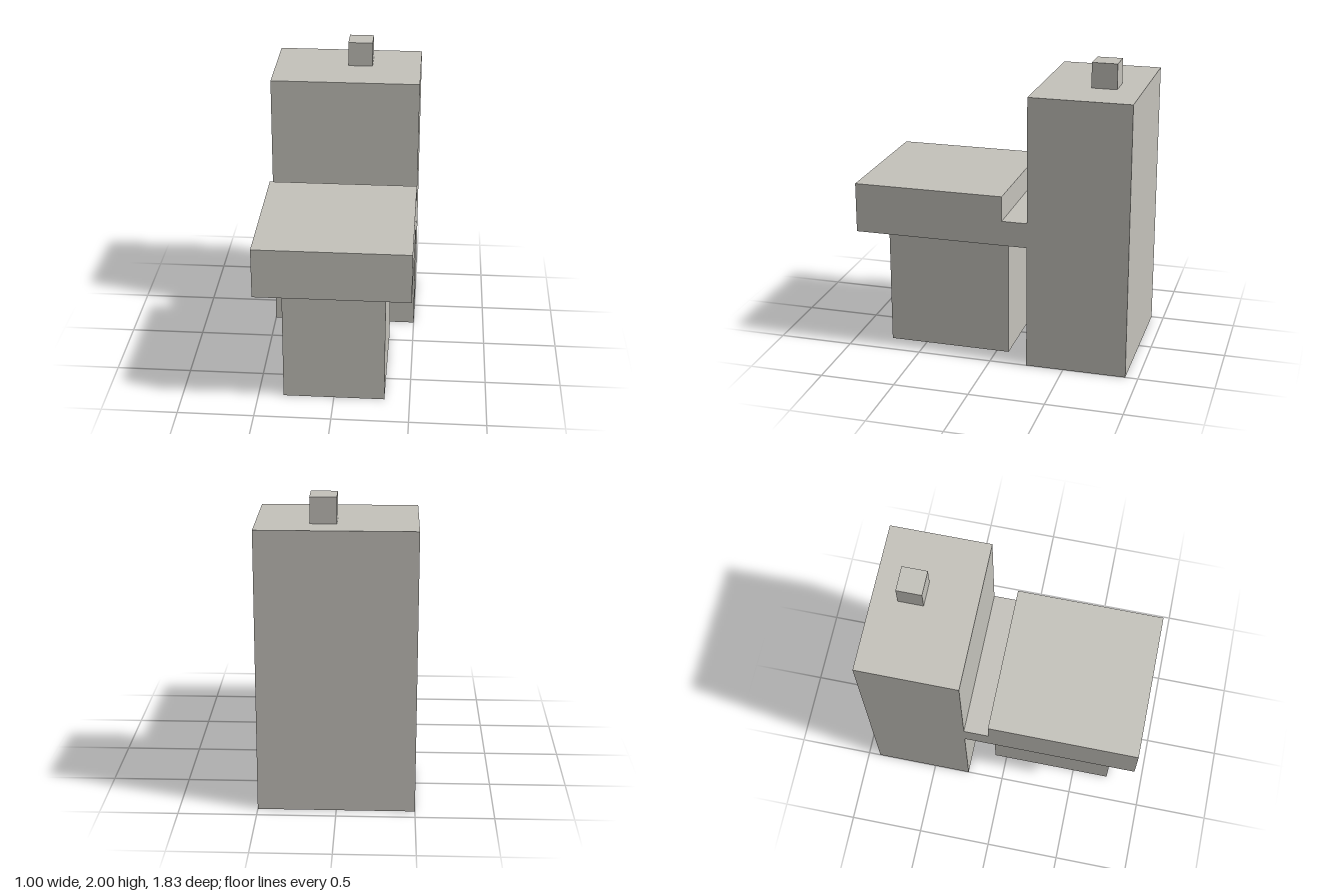
import * as THREE from 'three';

const U = 1 / 6; // the model sits on a grid of sixths

export function createModel() {
  const model = new THREE.Group();
  model.name = 'toilet';

  const ceramic = new THREE.MeshStandardMaterial({ color: 0xc4c2bb });
  ceramic.name = 'warm grey ceramic';

  // Box given by its lower and upper limits in grid units
  function block(name, [x0, x1], [y0, y1], [z0, z1]) {
    const geometry = new THREE.BoxGeometry((x1 - x0) * U, (y1 - y0) * U, (z1 - z0) * U);
    const mesh = new THREE.Mesh(geometry, ceramic);
    mesh.name = name;
    mesh.position.set((x0 + x1) / 2, (y0 + y1) / 2, (z0 + z1) / 2).multiplyScalar(U);
    model.add(mesh);
  }

  // Tall tank at the back, with an off-centre flush button on top
  block('tank', [-3, 3], [0, 11], [-5.5, -1.5]);
  block('flushButton', [0, 1], [11, 12], [-4.5, -3.5]);

  // Wide seat, joined to the tank by a lower bridge
  block('seat', [-3, 3], [5, 7], [-0.5, 5.5]);
  block('bridge', [-3, 3], [5, 6], [-1.5, -0.5]);

  // Narrower pedestal under the seat
  block('pedestal', [-2, 2], [0, 5], [-0.5, 4.5]);

  return model;
}
